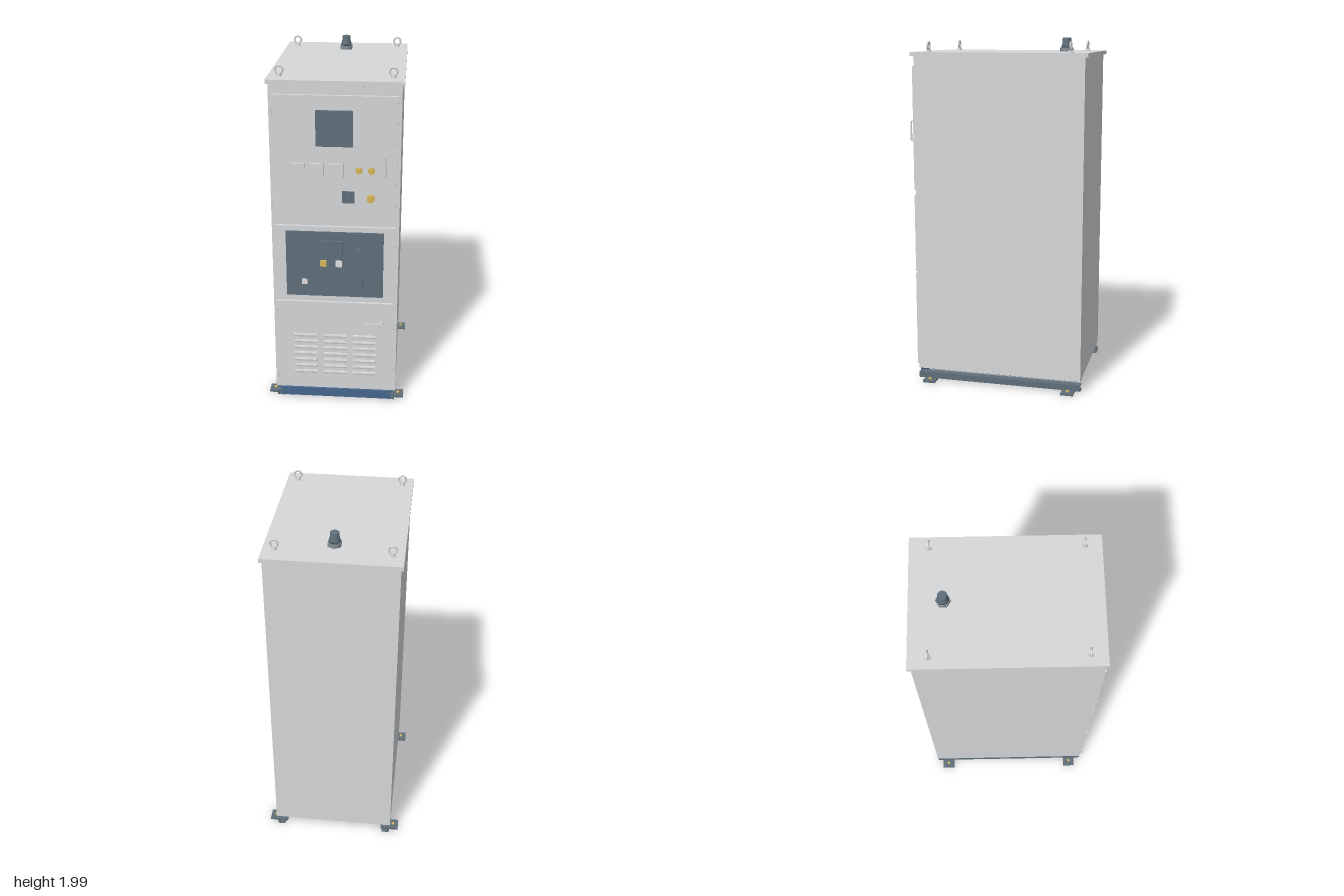
import * as THREE from 'three';

const mat = (name, color) => {
  const m = new THREE.MeshStandardMaterial({ color });
  m.name = name;
  return m;
};

export function createModel() {
  const grey = mat('cabinet grey', 0xd6d8da);
  const slate = mat('slate', 0x60707b);
  const blue = mat('plinth blue', 0x47668f);
  const brass = mat('brass', 0xd8b85c);
  const pale = mat('pale grey', 0xe4e0e2);
  const black = mat('underside grey', 0x596061);
  const steel = mat('gland steel', 0x8a9499);

  const root = new THREE.Group();
  root.name = 'cabinet';

  const add = (name, geo, material, x = 0, y = 0, z = 0) => {
    const m = new THREE.Mesh(geo, material);
    m.name = name;
    m.position.set(x, y, z);
    root.add(m);
    return m;
  };
  // Box given by its limits on each axis
  const box = (name, material, x0, x1, y0, y1, z0, z1) =>
    add(name, new THREE.BoxGeometry(x1 - x0, y1 - y0, z1 - z0), material,
      (x0 + x1) / 2, (y0 + y1) / 2, (z0 + z1) / 2);
  // Cylinder whose axis points to the front
  const knob = (name, material, x, y, r, z0, z1) => {
    const m = add(name, new THREE.CylinderGeometry(r, r, z1 - z0, 24), material, x, y, (z0 + z1) / 2);
    m.rotation.x = Math.PI / 2;
  };

  // Cabinet body, floor and roof
  box('body', grey, -0.35, 0.35, 0.077, 1.9, -0.5, 0.463);
  box('floorPlate', black, -0.34, 0.34, 0.072, 0.077, -0.49, 0.455);
  box('roof', grey, -0.362, 0.362, 1.9, 1.922, -0.517, 0.48);
  box('roofTab', grey, -0.11, 0.11, 1.865, 1.9, 0.463, 0.472);
  box('roofTabWing', grey, -0.155, 0.155, 1.885, 1.9, 0.463, 0.47);

  // Doors
  for (const [name, y0, y1] of [['upperDoor', 1.142, 1.845], ['middlePanel', 0.662, 1.112], ['lowerDoor', 0.095, 0.65]])
    box(name, grey, -0.333, 0.331, y0, y1, 0.463, 0.479);

  // Hinges
  for (const y of [1.755, 1.235, 0.58, 0.17])
    add('hinge', new THREE.CylinderGeometry(0.007, 0.007, 0.05, 12), grey, -0.335, y, 0.474);

  // Upper door: display, meters, lamps, switch, handle
  box('displayBezel', slate, -0.1, 0.097, 1.572, 1.767, 0.479, 0.491);
  box('displayScreen', slate, -0.065, 0.062, 1.61, 1.735, 0.491, 0.495);
  for (const x of [-0.198, -0.095, 0.009])
    box('meter', grey, x - 0.037, x + 0.037, 1.402, 1.476, 0.479, 0.492);
  for (const x of [0.13, 0.196]) {
    knob('lampCollar', brass, x, 1.44, 0.019, 0.479, 0.485);
    knob('lamp', brass, x, 1.44, 0.015, 0.485, 0.498);
  }
  box('switchPlate', slate, 0.04, 0.107, 1.256, 1.322, 0.479, 0.488);
  knob('switchKnob', slate, 0.073, 1.289, 0.018, 0.488, 0.503);
  knob('pushButtonCollar', brass, 0.195, 1.289, 0.017, 0.479, 0.492);
  knob('pushButton', brass, 0.195, 1.289, 0.022, 0.492, 0.507);
  const grip = new THREE.CurvePath();
  const pts = [[1.42, 0.478], [1.42, 0.512], [1.53, 0.512], [1.53, 0.478]].map(p => new THREE.Vector3(0.27, ...p));
  for (let i = 0; i < 3; i++) grip.add(new THREE.LineCurve3(pts[i], pts[i + 1]));
  add('doorHandle', new THREE.TubeGeometry(grip, 40, 0.005, 8), grey);

  // Middle panel: circuit breaker
  box('breakerFrame', slate, -0.271, 0.268, 0.694, 1.083, 0.479, 0.488);
  box('breakerFace', slate, -0.262, 0.259, 0.703, 1.074, 0.488, 0.491);
  box('breakerDisplay', slate, -0.085, 0.045, 0.948, 1.035, 0.491, 0.504);
  box('breakerLever', slate, 0.115, 0.154, 0.768, 0.992, 0.491, 0.512);
  box('onButton', brass, -0.08, -0.045, 0.88, 0.916, 0.491, 0.5);
  box('offButton', pale, 0.005, 0.04, 0.88, 0.916, 0.491, 0.5);
  box('indicator', pale, -0.183, -0.152, 0.768, 0.798, 0.491, 0.497);

  // Lower door: latch and louvres
  knob('latchBoss', grey, 0.262, 0.523, 0.016, 0.479, 0.492);
  box('latchLever', grey, 0.168, 0.268, 0.515, 0.531, 0.49, 0.499);
  const hood = new THREE.Shape([[0, -0.009], [0.006, -0.009], [0.008, 0], [0.006, 0.009], [0, 0.01]].map(p => new THREE.Vector2(...p)));
  const louvre = new THREE.ExtrudeGeometry(hood, { depth: 0.13, bevelEnabled: false });
  louvre.translate(0, 0, -0.065);
  louvre.rotateY(-Math.PI / 2);
  for (const x of [-0.17, 0, 0.167])
    for (let row = 0; row < 7; row++)
      add('louvre', louvre, grey, x, 0.195 + row * 0.04, 0.479);

  // Plinth: front board, side channels and feet
  box('plinthBoard', blue, -0.325, 0.325, 0.016, 0.068, 0.448, 0.462);
  for (const s of [-1, 1]) {
    const side = (name, m, a, b, ...r) => box(name, m, Math.min(s * a, s * b), Math.max(s * a, s * b), ...r);
    side('railWeb', slate, 0.334, 0.344, 0.018, 0.052, -0.5, 0.465);
    side('railTop', slate, 0.3, 0.344, 0.046, 0.052, -0.5, 0.465);
    side('railLip', slate, 0.3, 0.344, 0.016, 0.022, -0.5, 0.465);
    for (const z of [-0.43, 0.392]) {
      side('foot', slate, 0.29, 0.397, 0.006, 0.018, z - 0.036, z + 0.036);
      add('footBolt', new THREE.CylinderGeometry(0.009, 0.009, 0.008, 12), brass, s * 0.366, 0.022, z);
    }
  }

  // Lifting eyes
  for (const x of [-0.3, 0.3])
    for (const z of [-0.413, 0.39]) {
      add('eyeFlange', new THREE.CylinderGeometry(0.013, 0.015, 0.014, 20), grey, x, 1.928, z);
      add('eyeRing', new THREE.TorusGeometry(0.02, 0.0055, 10, 28), grey, x, 1.957, z);
    }

  // Cable gland on the roof
  add('glandNut', new THREE.CylinderGeometry(0.039, 0.039, 0.022, 6), steel, 0, 1.933, -0.338);
  const profile = [[0, 1.944], [0.031, 1.944], [0.03, 1.955], [0.025, 1.972], [0.025, 1.996], [0.021, 2], [0, 2]];
  add('glandCap', new THREE.LatheGeometry(profile.map(p => new THREE.Vector2(...p)), 28), slate, 0, 0, -0.338);

  return root;
}
